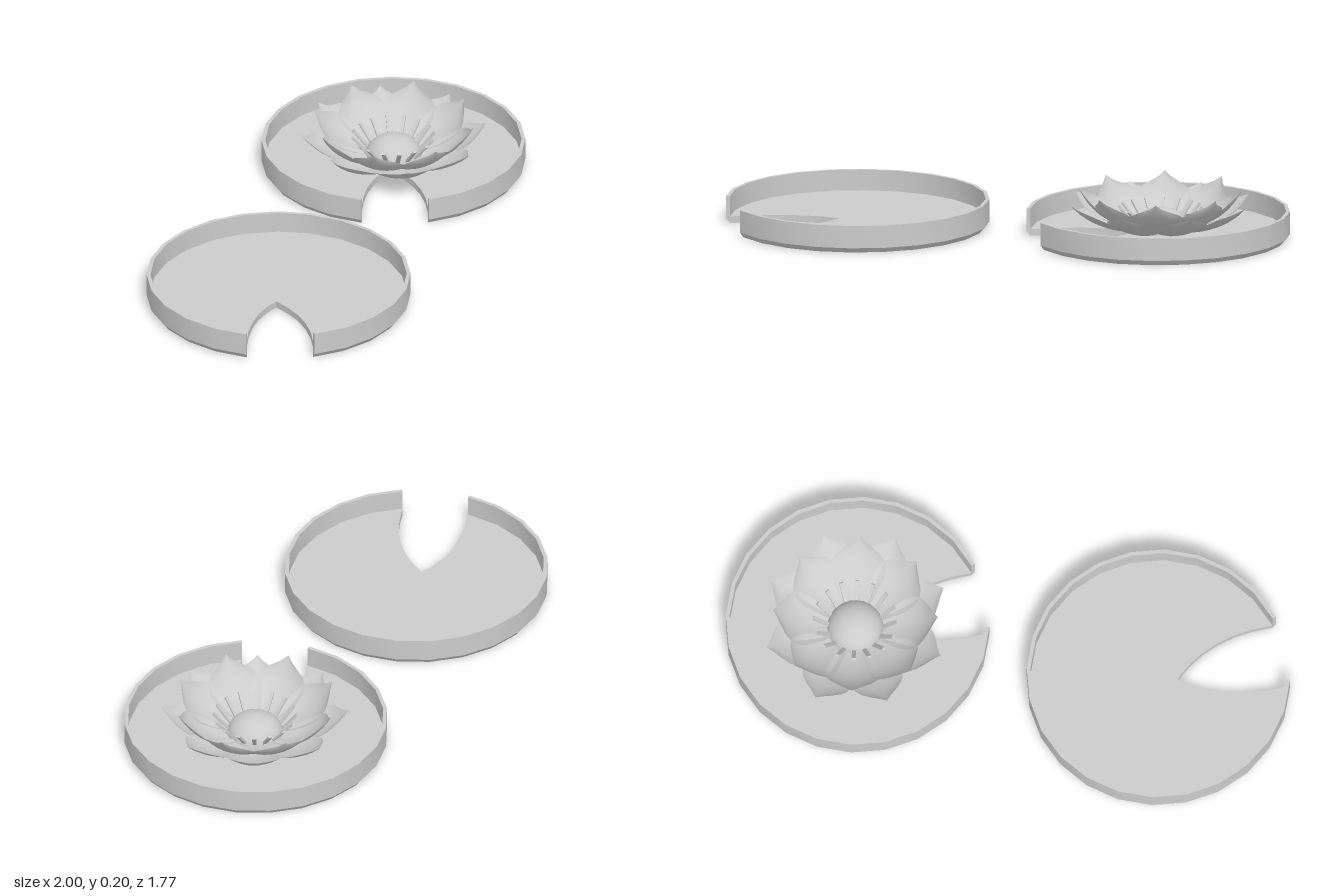
import * as THREE from 'three';
import { toCreasedNormals } from 'three/addons/utils/BufferGeometryUtils.js';

const RADIUS = 0.52, INNER = 0.505, FLOOR = 0.027, RIM = 0.11;
const SEGMENTS = 24, STEP = (Math.PI * 2) / SEGMENTS;
const material = new THREE.MeshStandardMaterial({ color: 0xcccccc });
const thin = new THREE.MeshStandardMaterial({ color: 0xcccccc, side: THREE.DoubleSide });

function mesh(name, geometry, mat = material) {
  const m = new THREE.Mesh(geometry, mat);
  m.name = name;
  return m;
}

// Flat leaf: a 24-sided disc with a curved notch two segments wide
function leafFloor() {
  const at = (i) => [Math.sin((i - 1) * STEP + 0) * INNER, -Math.cos((i - 1) * STEP) * INNER];
  const shape = new THREE.Shape();
  shape.moveTo(...at(0));
  for (let i = 1; i <= SEGMENTS - 2; i++) shape.lineTo(...at(i));
  shape.quadraticCurveTo(-0.225, -0.11, -0.045, -0.06);
  shape.quadraticCurveTo(0.008, -0.277, ...at(0));
  const geo = new THREE.ExtrudeGeometry(shape, { depth: FLOOR, bevelEnabled: false, curveSegments: 6 });
  geo.rotateX(-Math.PI / 2);
  return toCreasedNormals(geo, 0.6);
}

function lilyPad(name) {
  const pad = new THREE.Group();
  pad.name = name;
  pad.add(mesh('leafFloor', leafFloor()));

  // Upturned rim, open at the notch, chamfered below
  const profile = [[INNER, 0], [RADIUS, 0.02], [RADIUS, RIM], [INNER, RIM], [INNER, 0]]
    .map(([x, y]) => new THREE.Vector2(x, y));
  const rim = new THREE.LatheGeometry(profile, SEGMENTS - 2, -STEP, STEP * (SEGMENTS - 2));
  pad.add(mesh('rim', toCreasedNormals(rim, 0.5)));

  // Caps closing the two rim ends
  for (const angle of [-STEP, -3 * STEP]) {
    const cap = mesh('rimEnd', new THREE.ShapeGeometry(new THREE.Shape(profile.slice(0, 4))), thin);
    cap.rotation.y = angle - Math.PI / 2;
    pad.add(cap);
  }
  return pad;
}

// Petal: a plane swept along a rising midline, pointed and cupped
function petalGeometry(start, control, end, width) {
  const line = new THREE.QuadraticBezierCurve(
    new THREE.Vector2(...start), new THREE.Vector2(...control), new THREE.Vector2(...end));
  const outline = new THREE.SplineCurve(
    [0.3, 0.68, 0.98, 0.85, 0].map((w, i) => new THREE.Vector2(i / 4, w)));
  const geo = new THREE.PlaneGeometry(2, 1, 8, 14);
  const pos = geo.attributes.position;
  for (let i = 0; i < pos.count; i++) {
    const side = pos.getX(i), t = pos.getY(i) + 0.5;
    const p = line.getPoint(t), tangent = line.getTangent(t);
    const half = Math.max(0, outline.getPoint(t).y) * width;
    const cup = 0.25 * side * side * half;
    pos.setXYZ(i, side * half, p.y + tangent.x * cup, p.x - tangent.y * cup);
  }
  geo.computeVertexNormals();
  return geo;
}

function flower() {
  const group = new THREE.Group();
  group.name = 'flower';

  // Two rings of eight petals, offset by half a step
  const rings = [
    ['outerPetal', petalGeometry([0.04, 0.03], [0.26, 0.025], [0.37, 0.15], 0.105), Math.PI / 8],
    ['innerPetal', petalGeometry([0.04, 0.035], [0.25, 0.04], [0.325, 0.2], 0.11), 0],
  ];
  for (const [name, geo, offset] of rings) {
    for (let i = 0; i < 8; i++) {
      const petal = mesh(name, geo, thin);
      petal.rotation.y = offset + (i * Math.PI) / 4;
      group.add(petal);
    }
  }

  // Domed heart
  const heart = mesh('heart', new THREE.SphereGeometry(0.112, 24, 10, 0, Math.PI * 2, 0, Math.PI / 2));
  heart.scale.y = 0.8;
  heart.position.y = 0.032;
  group.add(heart);

  // Stamens leaning outward around the heart
  const rise = 0.075, reach = 0.065;
  const stamenGeo = new THREE.BoxGeometry(0.016, 0.008, Math.hypot(rise, reach));
  stamenGeo.rotateX(-Math.atan2(rise, reach));
  stamenGeo.translate(0, 0.05 + rise / 2, 0.1 + reach / 2);
  for (let i = 0; i < 16; i++) {
    const stamen = mesh('stamen', stamenGeo);
    stamen.rotation.y = (i * Math.PI) / 8;
    group.add(stamen);
  }
  return group;
}

export function createModel() {
  const model = new THREE.Group();
  model.name = 'waterLilies';
  const front = lilyPad('frontPad');
  front.position.set(-0.48, 0, 0.365);
  const back = lilyPad('backPad');
  back.position.set(0.48, 0, -0.365);
  const bloom = flower();
  bloom.position.set(0.485, 0, -0.372);
  model.add(front, back, bloom);
  return model;
}
